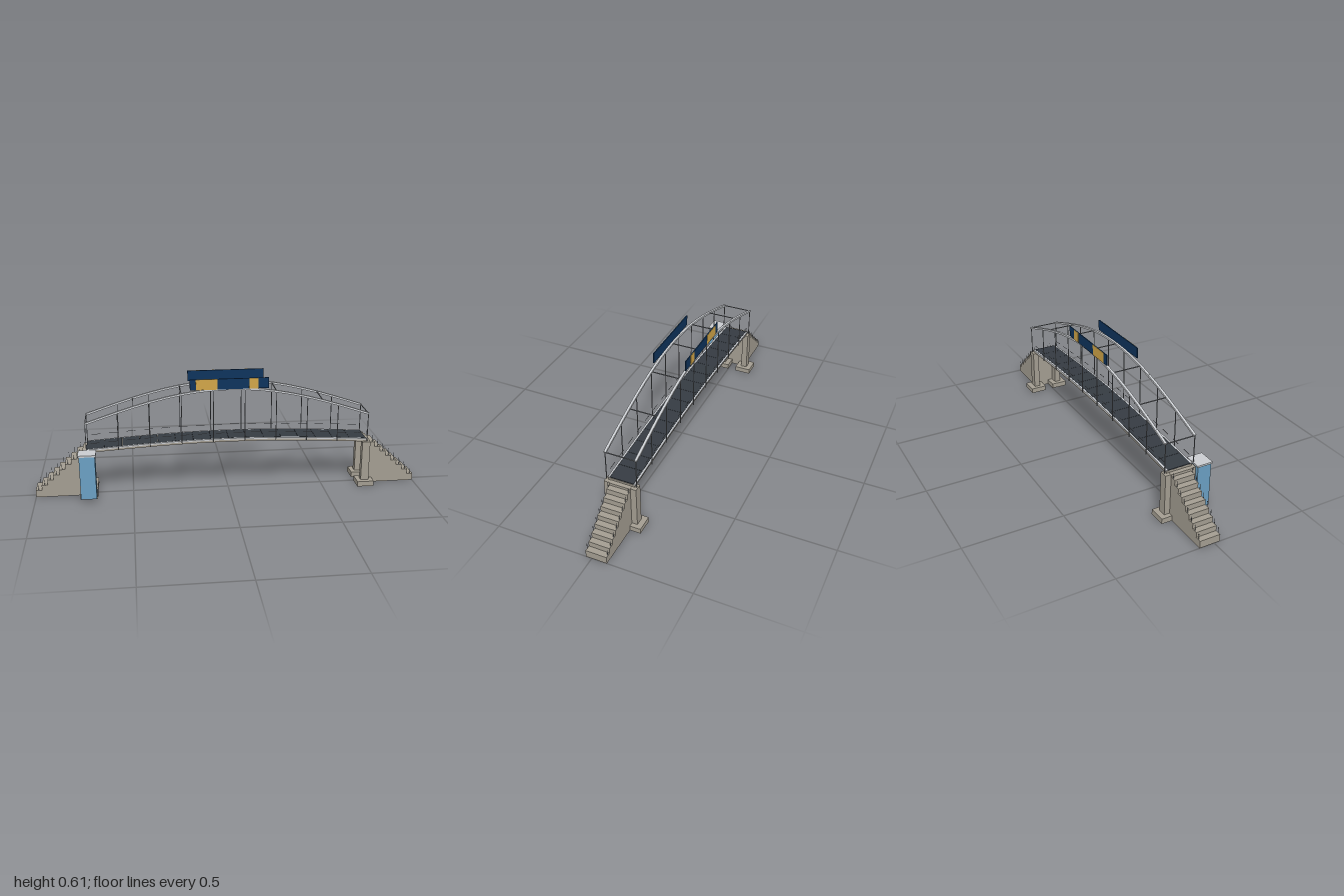
import * as THREE from 'three';

const mat = (name, color) => {
  const m = new THREE.MeshStandardMaterial({ color });
  m.name = name;
  return m;
};

export function createModel() {
  const concrete = mat('concrete', 0xa39d91);
  const asphalt = mat('asphalt', 0x353b42);
  const steel = mat('lightSteel', 0xc9ccd0);
  const rod = mat('greySteel', 0x85898e);
  const glass = mat('blueGlass', 0x6a9fc2);
  const navy = mat('navy', 0x0e335c);
  const gold = mat('gold', 0xd0a548);

  const bridge = new THREE.Group();
  bridge.name = 'footbridge';
  const MID = -0.0225; // bridge centre line in z
  const HALF = 0.73; // half span

  const box = (name, m, w, h, d, x, y, z, parent = bridge) => {
    const mesh = new THREE.Mesh(new THREE.BoxGeometry(w, h, d), m);
    mesh.name = name;
    mesh.position.set(x, y, z);
    parent.add(mesh);
    return mesh;
  };
  const group = (name) => {
    const g = new THREE.Group();
    g.name = name;
    bridge.add(g);
    return g;
  };
  // bar following a curve y = f(x) between two x positions
  const bar = (name, m, f, x0, x1, h, d, dy, z, parent) => {
    const dx = x1 - x0, rise = f(x1) - f(x0);
    const b = box(name, m, Math.hypot(dx, rise) + 0.001, h, d,
      (x0 + x1) / 2, (f(x0) + f(x1)) / 2 + dy, z, parent);
    b.rotation.z = Math.atan2(rise, dx);
  };

  const bow = (x) => Math.cos((x / HALF) * Math.PI / 2);
  const archY = (x) => 0.398 + 0.159 * bow(x);
  const deckY = (x) => 0.256 + 0.031 * bow(x); // walking surface

  // Deck: cambered slab, dark surface, kerbs and dashed handrails
  const deck = group('deck');
  const PANELS = 16;
  for (let i = 0; i < PANELS; i++) {
    const x0 = -HALF + (2 * HALF * i) / PANELS;
    const x1 = x0 + (2 * HALF) / PANELS;
    bar('deckSlab', concrete, deckY, x0, x1, 0.014, 0.135, -0.011, MID, deck);
    bar('deckSurface', asphalt, deckY, x0, x1 - 0.002, 0.005, 0.121, -0.0025, MID, deck);
    for (const s of [-1, 1]) {
      bar('kerb', steel, deckY, x0, x1, 0.007, 0.009, -0.0035, MID + s * 0.066, deck);
      bar('handrail', rod, deckY, x0 + 0.023, x1 - 0.023, 0.002, 0.002, 0.031, MID + s * 0.0675, deck);
    }
  }

  // Twin arches with hangers
  const SEG = 18;
  const archX = (i) => -HALF + (2 * HALF * i) / SEG;
  for (const s of [-1, 1]) {
    const z = MID + s * 0.0775;
    const arch = group(s > 0 ? 'frontArch' : 'backArch');
    for (let i = 0; i < SEG; i++) {
      bar('archSegment', steel, archY, archX(i), archX(i + 1), 0.01, 0.0125, 0, z, arch);
    }
    for (let i = 0; i <= SEG; i += 2) {
      const x = archX(i), bottom = deckY(x) - 0.012;
      box('hanger', rod, 0.0035, archY(x) - bottom, 0.0035, x, (archY(x) + bottom) / 2, z, arch);
    }
  }

  // Cross braces between the arches
  const braces = group('braces');
  for (let i = 0; i <= SEG; i += 3) {
    box('crossBrace', rod, 0.004, 0.004, 0.155, archX(i), archY(archX(i)), MID, braces);
  }

  // Sign boards with gold panels on the outer faces
  for (const s of [-1, 1]) {
    const sign = group(s > 0 ? 'frontSign' : 'backSign');
    const z = MID + s * 0.085;
    box('signBoard', navy, 0.4, 0.055, 0.005, 0, 0.585, z, sign);
    for (const [a, b] of [[-0.17, -0.06], [0.1, 0.147]]) {
      box('goldPanel', gold, b - a, 0.055, 0.002, (a + b) / 2, 0.585, z + s * 0.003, sign);
    }
  }

  // Piers and stairs, mirrored at both ends
  const STEPS = 8, TREAD = 0.03125;
  for (const e of [-1, 1]) {
    const pier = group(e > 0 ? 'leftPier' : 'rightPier');
    for (const s of [-1, 1]) {
      const z = MID + s * 0.0665;
      box('footing', concrete, 0.088, 0.027, 0.086, e * 0.727, 0.0135, z, pier);
      box('column', concrete, 0.042, 0.24, 0.032, e * 0.727, 0.12, z, pier);
    }
    const stairs = group(e > 0 ? 'leftStairs' : 'rightStairs');
    for (let i = 0; i < STEPS; i++) {
      const top = 0.0375 + 0.0273 * i;
      const x = e * (1 - TREAD * (i + 0.5));
      box('step', concrete, TREAD, top, 0.107, x, top / 2, MID - 0.001, stairs);
      for (const s of [-1, 1]) {
        box('railPost', rod, 0.002, 0.03, 0.002, x, top + 0.013, MID + s * 0.052, stairs);
      }
    }
    box('landing', concrete, 0.03, 0.014, 0.107, e * 0.737, 0.234, MID, stairs);
  }

  // Lift tower beside one pier
  const lift = group('liftTower');
  box('liftShaft', glass, 0.08, 0.231, 0.072, -0.726, 0.1335, 0.093, lift);
  box('liftRoof', steel, 0.09, 0.009, 0.082, -0.726, 0.2525, 0.093, lift);

  return bridge;
}
